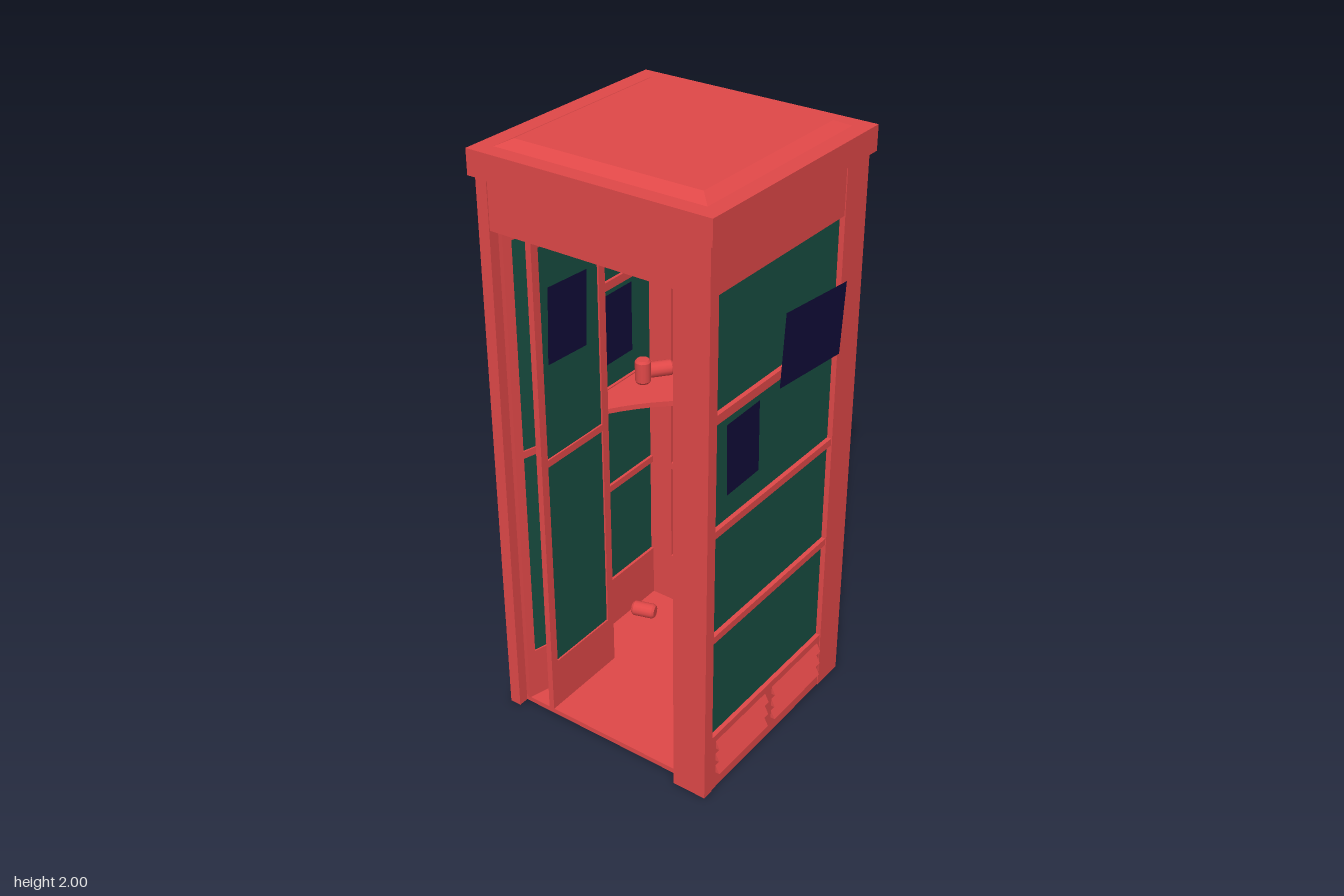
import * as THREE from 'three';

const paint = (color, extra = {}) => new THREE.MeshStandardMaterial({ color, ...extra });
const RED = paint(0xe04848);
const GLASS = paint(0x174d40);
const NAVY = paint(0x100c38, { side: THREE.DoubleSide });
const YELLOW = paint(0xdcae12);
const OLIVE = paint(0x7a6410);

function add(parent, name, geometry, material, x = 0, y = 0, z = 0) {
  const mesh = new THREE.Mesh(geometry, material);
  mesh.name = name;
  mesh.position.set(x, y, z);
  parent.add(mesh);
  return mesh;
}

// Box given by its limits on each axis
function box(parent, name, material, [x0, x1], [y0, y1], [z0, z1]) {
  return add(parent, name, new THREE.BoxGeometry(x1 - x0, y1 - y0, z1 - z0), material,
    (x0 + x1) / 2, (y0 + y1) / 2, (z0 + z1) / 2);
}

function poster(parent, x, y, z, w, h, tilt = 0) {
  add(parent, 'poster', new THREE.PlaneGeometry(w, h), NAVY, x, y, z).rotation.z = tilt;
}

const BARS = [[0.585, 0.61], [0.965, 0.99], [1.345, 1.375]];
const OPENING = [-0.36, 0.28];

// Wedge-shaped vent slat running along x
function louvre(parent, x0, x1, y) {
  const shape = new THREE.Shape([[0, 0], [0.018, 0], [0, 0.035]].map(p => new THREE.Vector2(...p)));
  const geo = new THREE.ExtrudeGeometry(shape, { depth: x1 - x0, bevelEnabled: false });
  geo.rotateY(-Math.PI / 2);
  add(parent, 'louvre', geo, RED, x1, y, 0.394);
}

// One side of the booth, modelled facing +z and then turned into place
function wall(root, name, angle, kind) {
  const g = new THREE.Group();
  g.name = name;
  g.rotation.y = angle;
  root.add(g);
  box(g, 'cornerPost', RED, [0.28, 0.4], [0, 1.9], [0.36, 0.4]);
  box(g, 'header', RED, OPENING, [1.74, 1.9], [0.36, 0.397]);
  if (kind === 'open') return g;
  const outer = kind === 'solid' ? 0.385 : 0.397;
  box(g, 'kickPanel', RED, OPENING, [0, 0.215], [0.36, outer]);
  for (const bar of BARS) box(g, 'crossBar', RED, OPENING, bar, [0.36, outer]);
  if (kind === 'solid') {
    box(g, 'backPanel', RED, [-0.4, 0.4], [0, 1.9], [0.38, 0.4]);
  } else {
    box(g, 'glass', GLASS, OPENING, [0.215, 1.74], [0.37, 0.382]);
    for (const y of [0.06, 0.11, 0.16]) {
      louvre(g, -0.335, -0.055, y);
      louvre(g, -0.015, 0.265, y);
    }
  }
  return g;
}

// Door leaf between two points on the floor plan
function doorLeaf(root, name, [xa, za], [xb, zb]) {
  const g = new THREE.Group();
  g.name = name;
  const half = Math.hypot(xb - xa, zb - za) / 2;
  g.position.set((xa + xb) / 2, 0, (za + zb) / 2);
  g.rotation.y = Math.atan2(-(zb - za), xb - xa);
  root.add(g);
  const t = [-0.01, 0.01];
  for (const s of [-1, 1]) {
    box(g, 'stile', RED, s < 0 ? [-half, -half + 0.03] : [half - 0.03, half], [0.025, 1.73], t);
  }
  for (const rail of [[0.025, 0.21], [0.965, 0.99], [1.7, 1.73]]) {
    box(g, 'rail', RED, [-half + 0.03, half - 0.03], rail, t);
  }
  box(g, 'doorGlass', GLASS, [-half + 0.03, half - 0.03], [0.21, 1.7], [-0.004, 0.004]);
  return g;
}

function can(root, x, y, z, lying, turn = 0) {
  const g = new THREE.Group();
  g.name = 'can';
  add(g, 'canBody', new THREE.CylinderGeometry(0.027, 0.027, 0.07, 14), RED);
  for (const s of [-1, 1]) {
    add(g, 'canRim', new THREE.CylinderGeometry(s > 0 ? 0.021 : 0.027, s > 0 ? 0.027 : 0.021, 0.008, 14), RED, 0, s * 0.039, 0);
  }
  g.position.set(x, y, z);
  g.rotation.set(0, turn, lying ? Math.PI / 2 : 0);
  root.add(g);
}

function payphone(root) {
  const g = new THREE.Group();
  g.name = 'payphone';
  g.position.set(0.155, 1.285, -0.38);
  root.add(g);
  const F = 0.08;
  box(g, 'phoneBody', YELLOW, [-0.085, 0.085], [-0.155, 0.145], [0, F]);
  box(g, 'phoneTopPlate', YELLOW, [-0.078, 0.078], [0.0, 0.135], [F, F + 0.006]);
  box(g, 'display', OLIVE, [-0.078, 0], [-0.05, -0.005], [F, F + 0.004]);
  box(g, 'sidePanel', OLIVE, [-0.03, 0], [-0.14, -0.05], [F, F + 0.004]);
  box(g, 'coinTray', OLIVE, [0.005, 0.08], [-0.148, -0.11], [F, F + 0.008]);
  box(g, 'returnCup', OLIVE, [-0.075, -0.04], [-0.14, -0.12], [F, F + 0.006]);
  box(g, 'coinSlot', OLIVE, [-0.065, -0.06], [0.04, 0.075], [F + 0.006, F + 0.01]);
  box(g, 'cardSlot', OLIVE, [0.01, 0.065], [0.05, 0.056], [F + 0.006, F + 0.01]);
  for (let i = 0; i < 12; i++) {
    add(g, 'key', new THREE.BoxGeometry(0.011, 0.012, 0.008), OLIVE,
      0.025 + (i % 3) * 0.017, -0.085 + Math.floor(i / 3) * 0.02, F + 0.008);
  }
  // Handset lying across the top
  const grip = new THREE.CatmullRomCurve3([[-0.03, 0.155], [0, 0.165], [0.04, 0.168], [0.075, 0.162]]
    .map(([x, y]) => new THREE.Vector3(x, y, 0.05)));
  add(g, 'handset', new THREE.TubeGeometry(grip, 10, 0.009, 8), YELLOW);
  for (const x of [-0.025, 0.068]) {
    add(g, 'handsetCup', new THREE.CylinderGeometry(0.016, 0.013, 0.02, 12), YELLOW, x, 0.153, 0.05);
  }
  const cord = new THREE.CatmullRomCurve3([[-0.035, 0.155], [-0.09, 0.14], [-0.115, 0.06], [-0.1, -0.05], [-0.115, -0.12], [-0.085, -0.135]]
    .map(([x, y]) => new THREE.Vector3(x, y, 0.04)));
  add(g, 'cord', new THREE.TubeGeometry(cord, 30, 0.003, 6), OLIVE);
}

export function createModel() {
  const root = new THREE.Group();
  root.name = 'phoneBooth';

  // Walls: each is the same panel turned a quarter further
  wall(root, 'frontWall', 0, 'open');
  wall(root, 'backWall', Math.PI, 'solid');
  const leftWall = wall(root, 'leftWall', Math.PI / 2, 'glazed');
  const rightWall = wall(root, 'rightWall', -Math.PI / 2, 'glazed');

  // Floor and roof
  box(root, 'floor', RED, [-0.39, 0.39], [0.002, 0.02], [-0.39, 0.365]);
  box(root, 'roof', RED, [-0.415, 0.415], [1.9, 1.98], [-0.415, 0.415]);
  const cap = new THREE.CylinderGeometry(0.32 * Math.SQRT2, 0.36 * Math.SQRT2, 0.02, 4).rotateY(Math.PI / 4);
  add(root, 'roofCap', cap, paint(0xe04848, { flatShading: true }), 0, 1.99, 0);

  // Folded two-leaf door
  doorLeaf(root, 'hingedLeaf', [-0.347, 0.37], [-0.262, 0.055]);
  const leaf = doorLeaf(root, 'foldingLeaf', [-0.245, 0.04], [-0.245, 0.37]);
  poster(leaf, 0.02, 1.435, -0.013, 0.18, 0.25, 0.05);

  // Posters on the glass, over the frame and inside
  poster(leftWall, 0.13, 1.422, 0.403, 0.335, 0.235, -0.09);
  poster(leftWall, -0.205, 1.193, 0.386, 0.165, 0.237, 0.02);
  poster(rightWall, -0.2, 1.525, 0.386, 0.18, 0.245, 0.03);
  poster(rightWall, -0.05, 1.16, 0.386, 0.33, 0.205, -0.03);
  poster(rightWall, 0.23, 1.37, 0.403, 0.24, 0.34, -0.09);
  poster(rightWall, -0.18, 1.2, 0.366, 0.16, 0.25);
  poster(root, -0.112, 1.548, -0.376, 0.255, 0.235, 0.015);
  poster(root, 0.218, 1.56, -0.376, 0.165, 0.24, -0.02);
  poster(root, -0.06, 1.16, -0.376, 0.235, 0.165, -0.04);
  poster(root, 0.13, 0.805, -0.376, 0.32, 0.235, -0.055);

  // Corner shelf with rounded front
  const shelf = new THREE.Shape();
  shelf.moveTo(-0.37, 0.37);
  shelf.lineTo(0.11, 0.37);
  shelf.lineTo(0.11, 0.34);
  shelf.quadraticCurveTo(-0.2, 0.22, -0.34, -0.08);
  shelf.lineTo(-0.37, -0.08);
  const shelfGeo = new THREE.ExtrudeGeometry(shelf, { depth: 0.018, bevelEnabled: false });
  shelfGeo.rotateX(-Math.PI / 2);
  add(root, 'cornerShelf', shelfGeo, RED, 0, 0.968, 0);

  // Discarded cans
  can(root, -0.3, 1.029, -0.23, false);
  can(root, -0.28, 1.013, -0.3, true, 0.9);
  can(root, -0.3, 0.047, -0.22, true, 0.3);

  payphone(root);
  return root;
}
